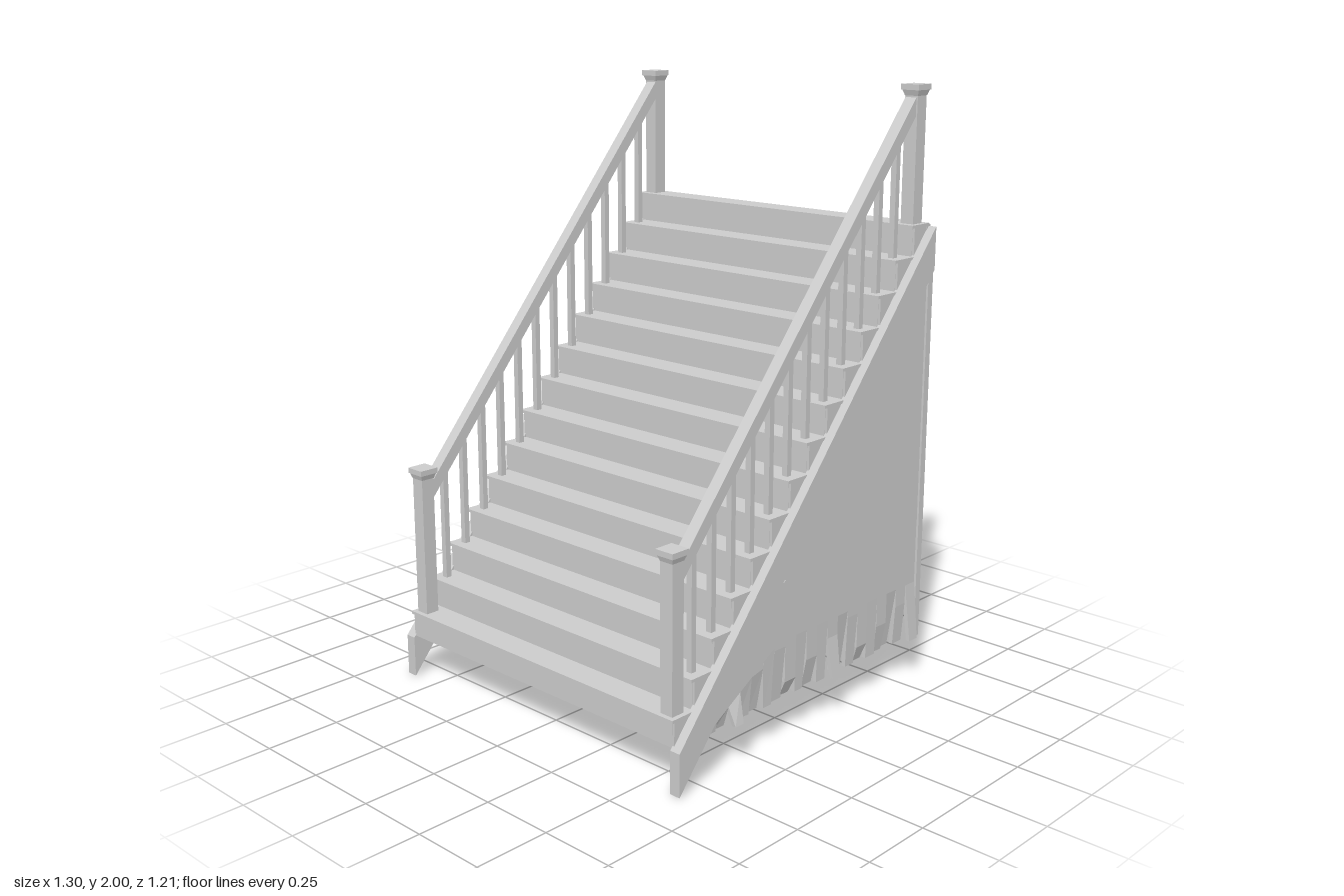
import * as THREE from 'three';

const STEPS = 14, RUN = 0.0858, RISE = 0.1018, WIDTH = 1.22;
const SLOPE = 1.175, PANEL_Y = 0.54, GROUND_Y = 0.145;
const material = new THREE.MeshStandardMaterial({ color: 0xcccccc, flatShading: true });

const treadTop = i => 0.236 + RISE * i;
const treadFront = i => 0.605 - RUN * i;
const stringerBottom = z => (0.6 - z) * SLOPE;

export function createModel() {
  const model = new THREE.Group();
  model.name = 'staircase';

  const add = (parent, name, geometry, x = 0, y = 0, z = 0) => {
    const mesh = new THREE.Mesh(geometry, material);
    mesh.name = name;
    mesh.position.set(x, y, z);
    parent.add(mesh);
    return mesh;
  };
  // Box given by its centre x, width and its y and z ranges
  const box = (parent, name, x, w, y0, y1, z0, z1) =>
    add(parent, name, new THREE.BoxGeometry(w, y1 - y0, Math.abs(z1 - z0)), x, (y0 + y1) / 2, (z0 + z1) / 2);
  // Side profile of [z, y] points, given thickness w about x
  const profile = (parent, name, points, x, w) => {
    const shape = new THREE.Shape(points.map(p => new THREE.Vector2(...p)));
    const geometry = new THREE.ExtrudeGeometry(shape, { depth: w, bevelEnabled: false });
    geometry.translate(0, 0, -w / 2).rotateY(-Math.PI / 2);
    return add(parent, name, geometry, x);
  };

  // Treads and risers
  const steps = new THREE.Group();
  steps.name = 'steps';
  model.add(steps);
  for (let i = 0; i < STEPS; i++) {
    const y = treadTop(i), z = treadFront(i);
    const front = Math.min(z, 0.6);
    box(steps, 'tread', 0, WIDTH, y - 0.01, y, front, Math.max(z - RUN - 0.018, -0.6));
    box(steps, 'riser', 0, WIDTH - 0.02, i ? y - RISE : GROUND_Y, y - 0.01, z - 0.014, z - 0.026);
  }
  box(steps, 'backHeader', 0, WIDTH, 1.46, treadTop(STEPS - 1), -0.588, -0.602);

  for (const s of [1, -1]) {
    const side = new THREE.Group();
    side.name = s > 0 ? 'leftSide' : 'rightSide';
    model.add(side);

    // Sloping stringer with triangular fillers under the treads
    profile(side, 'stringer', [[0.6, 0], [0.6, 0.14], [-0.6, 1.55], [-0.6, 1.41]], s * 0.62, 0.038);
    for (let i = 0; i < STEPS; i++) {
      const y = treadTop(i) - 0.005, z = treadFront(i) - 0.015;
      profile(side, 'stepFiller', [[z, y], [z - RUN, y], [z - RUN, y - RISE], [z, y - RISE]], s * 0.604, 0.008);
    }

    // Newel posts with stepped caps
    for (const [z, y0, y1] of [[0.56, 0.235, 0.745], [-0.558, 1.55, 2]]) {
      const newel = new THREE.Group();
      newel.name = z > 0 ? 'lowerNewel' : 'upperNewel';
      side.add(newel);
      box(newel, 'post', s * 0.57, 0.048, y0, y1 - 0.03, z - 0.024, z + 0.024);
      const collar = new THREE.CylinderGeometry(0.045, 0.035, 0.02, 4).rotateY(Math.PI / 4);
      add(newel, 'capMoulding', collar, s * 0.57, y1 - 0.026, z);
      box(newel, 'cap', s * 0.57, 0.068, y1 - 0.018, y1, z - 0.034, z + 0.034);
    }

    // Handrail and balusters
    profile(side, 'handrail', [[0.537, 0.64], [0.537, 0.70], [-0.535, 1.96], [-0.535, 1.90]], s * 0.568, 0.042);
    for (let i = 1; i <= 12; i++) {
      const z = 0.475 - 0.0855 * (i - 1);
      box(side, 'baluster', s * 0.568, 0.02, treadTop(i), 0.66 + (0.537 - z) * SLOPE, z - 0.01, z + 0.01);
    }

    // Solid upper panel, with posts and a ledge behind it
    const corner = 0.6 - PANEL_Y / SLOPE;
    profile(side, 'upperPanel', [[corner, PANEL_Y], [-0.6, 1.41], [-0.6, PANEL_Y]], s * 0.617, 0.02);
    box(side, 'backPost', s * 0.617, 0.034, GROUND_Y, 1.42, -0.6, -0.575);
    box(side, 'middlePost', s * 0.597, 0.02, GROUND_Y, 0.69, 0.0, 0.04);

    // Split boards whose loose lower ends bend in or out
    const boards = 20, pitch = (0.477 + 0.577) / boards;
    for (let i = 0; i < boards; i++) {
      const z0 = 0.477 - pitch * i, z1 = z0 - pitch;
      const bend = [2, 11, 19].includes(i) ? 0.022 : -0.004 - 0.022 * ((i * 7) % 5) / 4;
      const split = 0.2 + 0.24 * ((i * 11) % 7) / 6;
      const gap = 0.002 + 0.003 * (i % 3);
      const geometry = new THREE.BoxGeometry(0.014, 1, 1, 1, 2, 1);
      const p = geometry.attributes.position;
      for (let k = 0; k < p.count; k++) {
        const level = Math.round(p.getY(k) * 2);
        const loose = level < 0 ? 1 : 0;
        const z = p.getZ(k) > 0 ? z0 - gap * loose : z1 + gap * loose;
        const top = Math.max(GROUND_Y, Math.min(PANEL_Y, stringerBottom(z)));
        const y = level > 0 ? top : level < 0 ? GROUND_Y : Math.min(split, (top + GROUND_Y) / 2);
        p.setXYZ(k, s * (0.619 + bend * loose) + p.getX(k), y, z);
      }
      geometry.computeVertexNormals();
      add(side, 'skirtBoard', geometry);
    }
  }
  return model;
}
